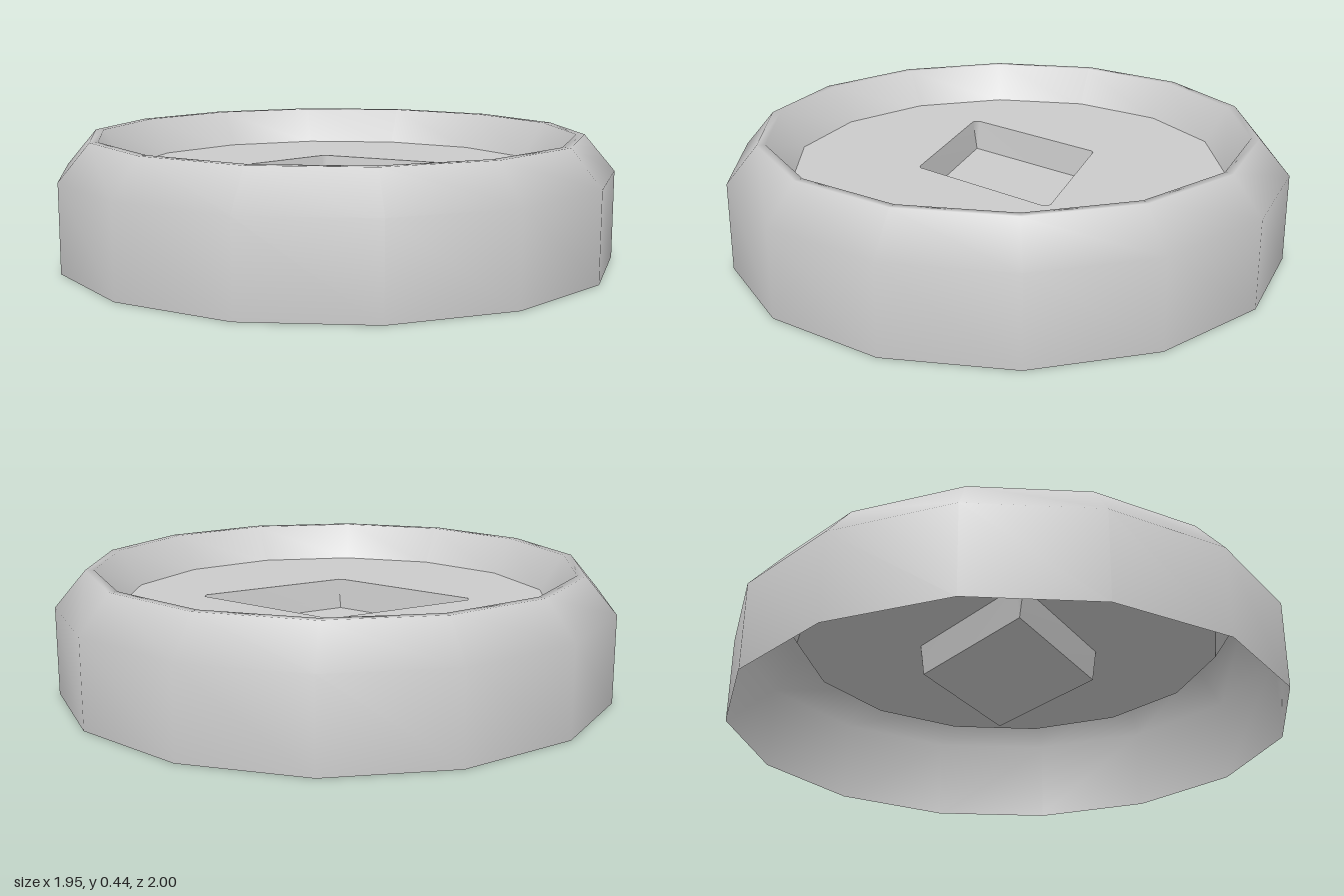
import * as THREE from 'three';

const SIDES = 14;
const FLOOR_Y = 0.315;
const RECESS_Y = 0.205;
const FLOOR_R = 0.775;

export function createModel() {
  const model = new THREE.Group();
  const material = new THREE.MeshStandardMaterial({ color: 0xcccccc, side: THREE.DoubleSide });
  const add = (name, geometry) => {
    const mesh = new THREE.Mesh(geometry, material);
    mesh.name = name;
    model.add(mesh);
  };
  // Flat shape drawn in (x, z), laid facing up at height y
  const flat = (shape, y) => new THREE.ShapeGeometry(shape).rotateX(-Math.PI / 2).translate(0, y, 0);

  // Thin outer wall, sloping shoulder, rim and inner slope
  const profile = [[1, 0], [1, 0.315], [0.89, 0.445], [0.86, 0.445], [FLOOR_R, FLOOR_Y]];
  add('rim', new THREE.LatheGeometry(profile.map(([r, y]) => new THREE.Vector2(r, y)), SIDES));

  // Diamond outlines: the upper one is slightly wider with clipped corners
  const corners = [[0.47, 0], [0, 0.31], [-0.47, 0], [0, -0.31]];
  const lower = [], upper = [];
  corners.forEach(([x, z], i) => {
    for (const j of [i + 3, i]) {
      const [ax, az] = corners[j % 4], [bx, bz] = corners[(j + 1) % 4];
      const n = new THREE.Vector2(bz - az, ax - bx).setLength(0.016);
      lower.push(new THREE.Vector2(x, z));
      upper.push(new THREE.Vector2(x, z).add(n));
    }
  });

  // Sunken disc with the diamond opening
  const disc = new THREE.Shape(Array.from({ length: SIDES }, (_, i) => {
    const a = Math.PI / 2 + (i * 2 * Math.PI) / SIDES;
    return new THREE.Vector2(FLOOR_R * Math.cos(a), FLOOR_R * Math.sin(a));
  }));
  disc.holes.push(new THREE.Path(upper));
  // Turned so the disc corners meet the rim corners
  add('floor', flat(disc, FLOOR_Y));

  // Recess walls, facing inward
  const positions = [], index = [];
  upper.forEach((p, i) => {
    const q = lower[i], a = 2 * i, b = 2 * ((i + 1) % upper.length);
    positions.push(p.x, FLOOR_Y, -p.y, q.x, RECESS_Y, -q.y);
    index.push(a, b, a + 1, b, b + 1, a + 1);
  });
  const walls = new THREE.BufferGeometry();
  walls.setAttribute('position', new THREE.Float32BufferAttribute(positions, 3));
  walls.setIndex(index);
  walls.computeVertexNormals();
  add('recessWalls', walls);

  // Recess bottom
  add('recessFloor', flat(new THREE.Shape(corners.map(([x, z]) => new THREE.Vector2(x, z))), RECESS_Y));

  return model;
}
